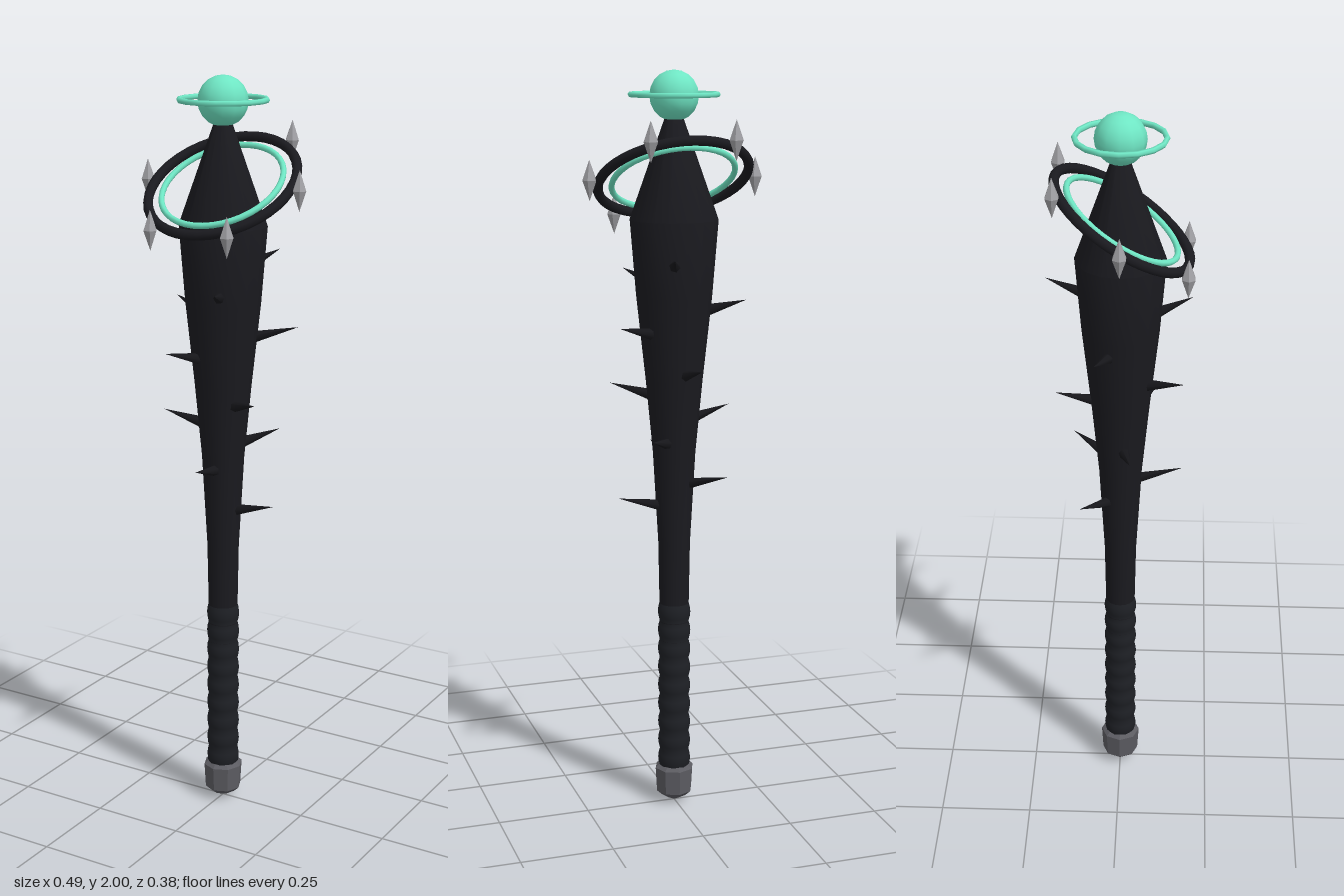
import * as THREE from 'three';
import { toCreasedNormals } from 'three/addons/utils/BufferGeometryUtils.js';

const mat = (color, flatShading = false) => new THREE.MeshStandardMaterial({ color, flatShading });

export function createModel() {
  const model = new THREE.Group();
  const black = mat(0x1a1a1f);
  const wrap = mat(0x1e2025);
  const thornBlack = mat(0x17171b);
  const teal = mat(0x6fe6c4);
  const steel = mat(0xa0a0a4, true);
  const darkSteel = mat(0x5c5c62, true);

  const add = (name, geometry, material, parent = model) => {
    const mesh = new THREE.Mesh(geometry, material);
    mesh.name = name;
    parent.add(mesh);
    return mesh;
  };
  const lathe = (points, sides) =>
    new THREE.LatheGeometry(points.map(([r, y]) => new THREE.Vector2(r, y)), sides);

  // Club body: slim shaft, flared head and conical tip
  const profile = [
    [0, 0.08], [0.038, 0.08], [0.04, 0.58], [0.043, 0.75], [0.057, 1.0],
    [0.076, 1.2], [0.1, 1.42], [0.116, 1.62], [0.022, 1.885], [0, 1.9],
  ];
  add('body', toCreasedNormals(lathe(profile, 16), 0.45), black);

  // Grip wrapping: a row of shallow bulges
  const gripPoints = [];
  const turns = 9;
  for (let i = 0; i <= turns * 4; i++) {
    const t = i / (turns * 4);
    gripPoints.push([0.0395 + 0.005 * Math.abs(Math.sin(t * turns * Math.PI)), 0.1 + 0.48 * t]);
  }
  add('gripWrap', lathe(gripPoints, 16), wrap);

  // Faceted pommel
  add('pommel', lathe([[0, 0], [0.035, 0.018], [0.05, 0.032], [0.054, 0.1], [0.04, 0.112], [0, 0.112]], 8), darkSteel);

  // Thorns, given by their tips; each rises slightly as it leaves the body
  const bodyRadius = (y) => {
    const i = profile.findIndex((p) => p[1] > y);
    const [r0, y0] = profile[i - 1];
    const [r1, y1] = profile[i];
    return r0 + ((r1 - r0) * (y - y0)) / (y1 - y0);
  };
  const thorns = new THREE.Group();
  thorns.name = 'thorns';
  model.add(thorns);
  const tips = [
    [0.06, 1.535, -0.195], [0.085, 1.475, 0.185], [-0.18, 1.41, -0.06], [0.175, 1.355, -0.09],
    [-0.075, 1.305, 0.165], [-0.02, 1.245, -0.17], [0.15, 1.18, 0.095], [-0.165, 1.115, 0.03],
    [0.1, 1.06, -0.13], [0.015, 1.0, 0.165], [-0.115, 0.945, -0.105], [0.155, 0.883, 0.0],
  ];
  for (const [x, y, z] of tips) {
    const tip = new THREE.Vector3(x, y, z);
    const base = new THREE.Vector3(x, 0, z).setLength(bodyRadius(y) - 0.015).setY(y - 0.028);
    const dir = tip.clone().sub(base);
    const thorn = add('thorn', new THREE.ConeGeometry(0.016, dir.length(), 6), thornBlack, thorns);
    thorn.position.copy(base).add(tip).multiplyScalar(0.5);
    thorn.quaternion.setFromUnitVectors(new THREE.Vector3(0, 1, 0), dir.normalize());
  }

  // Orb and level halo at the top
  add('orb', new THREE.SphereGeometry(0.065, 12, 10), teal).position.y = 1.935;
  const halo = add('halo', new THREE.TorusGeometry(0.112, 0.0075, 6, 16), teal);
  halo.rotation.x = Math.PI / 2;
  halo.position.y = 1.938;

  // Tilted double ring around the head
  const tilt = 0.56;
  const rings = new THREE.Group();
  rings.name = 'tiltedRings';
  rings.position.set(0, 1.725, 0.005);
  model.add(rings);
  for (const [name, radius, tube, material] of [
    ['outerRing', 0.198, 0.013, black],
    ['innerRing', 0.162, 0.008, teal],
  ]) {
    add(name, new THREE.TorusGeometry(radius, tube, 8, 40), material, rings).rotation.x = Math.PI / 2 + tilt;
  }

  // Upright six-sided shards spaced around the outer ring
  for (let i = 0; i < 6; i++) {
    const a = (i * Math.PI) / 3;
    const d = 0.225 * Math.sin(a);
    const shard = add('shard', lathe([[0, -0.052], [0.019, 0], [0, 0.052]], 6), steel, rings);
    shard.position.set(0.225 * Math.cos(a), -d * Math.sin(tilt), d * Math.cos(tilt));
    shard.rotation.y = Math.PI / 6;
  }

  return model;
}
